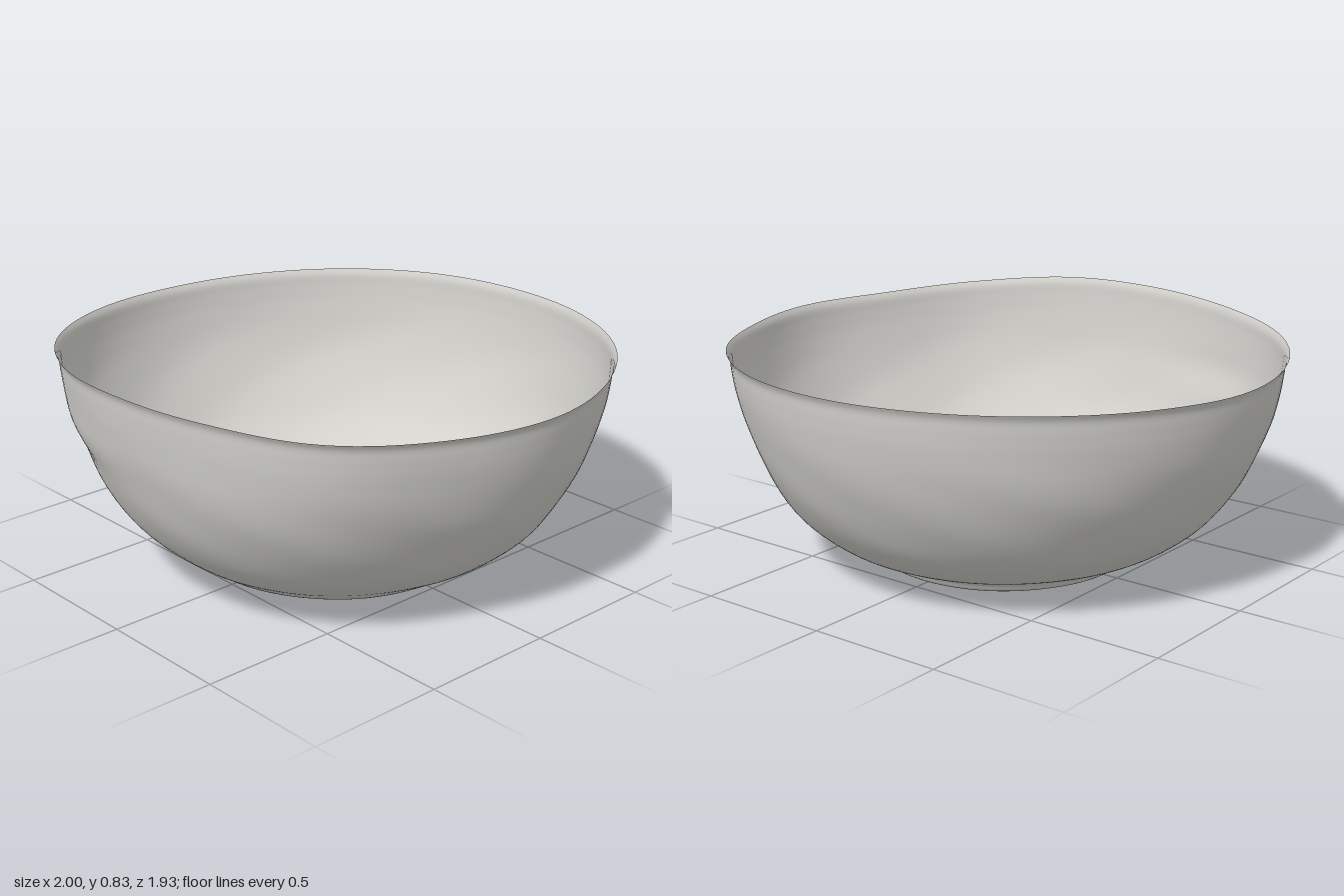
import * as THREE from 'three';
import { mergeVertices } from 'three/addons/utils/BufferGeometryUtils.js';

// Rim radius and rim height every 22.5 degrees, from the front (+z) round towards +x
const RIM_RADIUS = [0.96, 0.985, 1.005, 0.985, 1.0, 0.985, 0.985, 0.975, 0.965, 0.965, 0.968, 0.98, 1.0, 1.005, 1.0, 0.972];
const RIM_HEIGHT = [0.83, 0.832, 0.805, 0.787, 0.785, 0.78, 0.785, 0.785, 0.785, 0.785, 0.78, 0.772, 0.765, 0.775, 0.79, 0.81];

// Smooth periodic lookup in a ring of values
function around(values, angle) {
  const n = values.length;
  const u = ((angle / (Math.PI * 2)) * n + n) % n;
  const i = Math.floor(u), f = u - i;
  const [a, b, c, d] = [-1, 0, 1, 2].map((k) => values[(i + k + n) % n]);
  return b + 0.5 * f * (c - a + f * (2 * a - 5 * b + 4 * c - d + f * (3 * (b - c) + d - a)));
}

const bell = (x, width) => Math.exp(-((x / width) ** 2));
const wrap = (a) => Math.atan2(Math.sin(a), Math.cos(a));

// Hand-pressed dents and bulges: angle, height, angular width, height width, depth
const DENTS = [
  [-0.45, 0.47, 0.35, 0.07, -0.007],
  [-0.4, 0.57, 0.4, 0.07, 0.006],
  [-0.55, 0.15, 0.45, 0.07, -0.018],
  [0.5, 0.5, 0.35, 0.2, 0.01],
  [1.3, 0.3, 0.4, 0.1, -0.006],
  [2.5, 0.5, 0.4, 0.12, -0.006],
  [-2.3, 0.45, 0.5, 0.15, 0.008],
];

export function createModel() {
  const group = new THREE.Group();
  group.name = 'bowl';
  const clay = new THREE.MeshStandardMaterial({ color: 0xd2d1cc, side: THREE.DoubleSide });
  clay.name = 'pale grey clay';

  // Profile: flat base, stepped foot ring, rounded wall, thin lip
  const profile = new THREE.SplineCurve([
    [0, 0.022], [0.2, 0.02], [0.34, 0.014], [0.42, 0.006], [0.465, 0.017], [0.482, 0.035],
    [0.505, 0.05], [0.58, 0.08], [0.67, 0.13], [0.77, 0.213], [0.845, 0.315], [0.905, 0.43],
    [0.947, 0.54], [0.972, 0.64], [0.983, 0.71], [0.988, 0.755], [1.0, 0.78],
  ].map(([r, y]) => new THREE.Vector2(r, y)));
  const points = profile.getPoints(80);
  points[0].x = 0;

  let geometry = new THREE.LatheGeometry(points, 128);
  const pos = geometry.attributes.position;
  for (let i = 0; i < pos.count; i++) {
    const x = pos.getX(i), z = pos.getZ(i);
    let y = pos.getY(i), r = Math.hypot(x, z);
    const angle = Math.atan2(x, z);
    const lift = THREE.MathUtils.smoothstep(y, 0.3, 0.78);
    const wall = THREE.MathUtils.clamp((r - 0.5) / 0.5, 0, 1);

    // The foot step is deep at the back and melts into the wall at the front
    const step = THREE.MathUtils.smoothstep(-Math.cos(angle - 0.3), -0.8, 0.3);
    y += (0.028 * step - 0.018) * bell(r - 0.52, 0.06) * THREE.MathUtils.smoothstep(r, 0.45, 0.49);

    // Uneven rim outline and height
    r *= 1 + (around(RIM_RADIUS, angle) - 1) * wall;
    y += (around(RIM_HEIGHT, angle) - 0.78) * lift;

    // Dents fade out towards the base
    for (const [a, h, aw, hw, depth] of DENTS) {
      r += depth * bell(wrap(angle - a), aw) * bell(y - h, hw) * Math.min(1, wall * 4);
    }
    // Fine unevenness of wall and floor
    r += 0.004 * Math.sin(angle * 7 + y * 9) * Math.sin(y * 14 + angle * 2) * wall * (1 - lift);
    y += 0.003 * Math.sin(x * 11 + 1) * Math.sin(z * 12) * (1 - wall) * bell(r, 0.4);

    pos.setXYZ(i, Math.sin(angle) * r, Math.max(0, y), Math.cos(angle) * r);
  }

  // Weld the seam so the shading stays smooth all round
  geometry.deleteAttribute('uv');
  geometry.deleteAttribute('normal');
  geometry = mergeVertices(geometry, 1e-5);
  geometry.computeVertexNormals();

  const shell = new THREE.Mesh(geometry, clay);
  shell.name = 'bowlShell';
  group.add(shell);
  return group;
}
